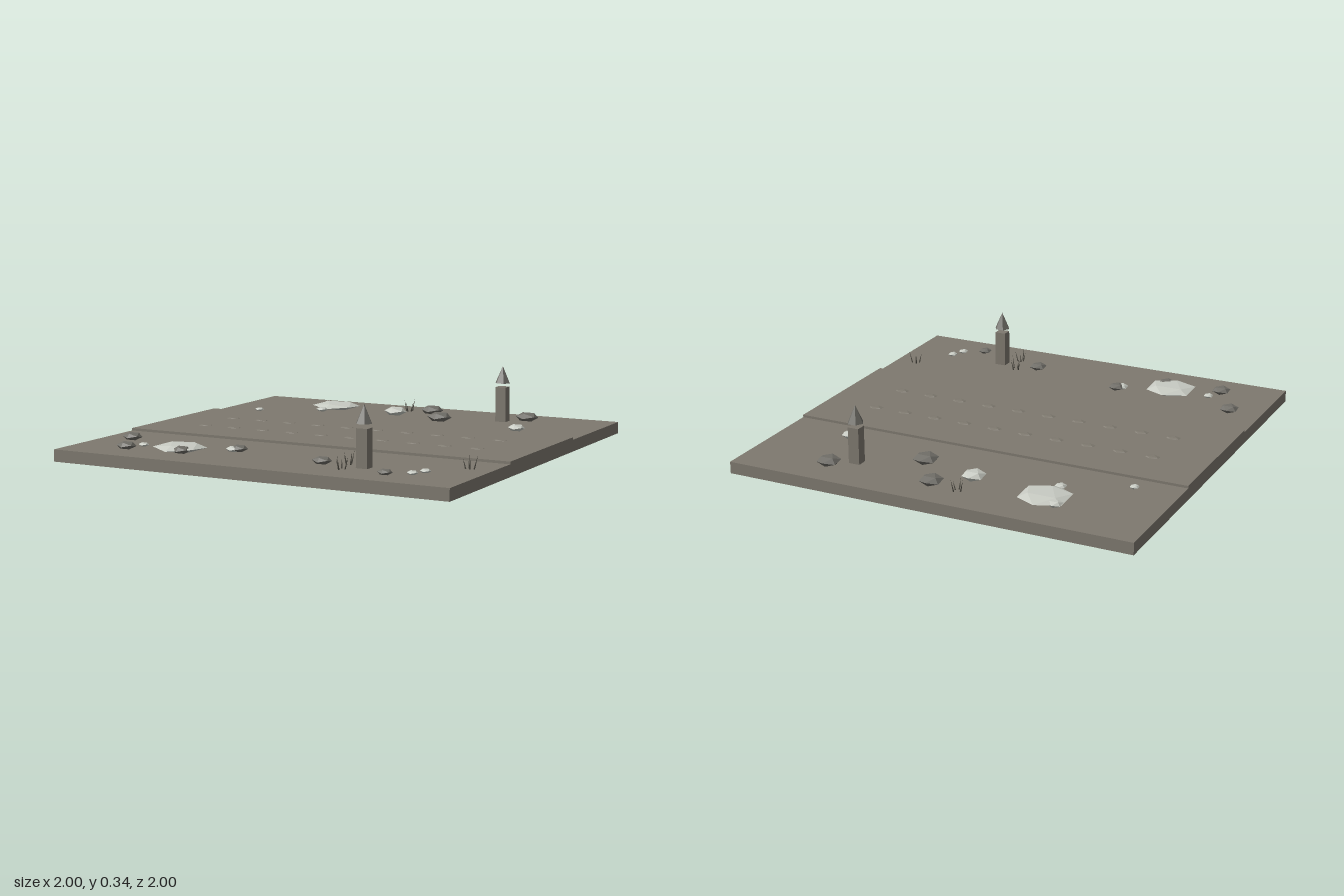
import * as THREE from 'three';
import { ConvexGeometry } from 'three/addons/geometries/ConvexGeometry.js';

const material = (name, color) => {
  const m = new THREE.MeshStandardMaterial({ color, flatShading: true });
  m.name = name;
  return m;
};

// Icosahedron lying on a face, with one corner of its top face towards +z
function stoneGeometry() {
  const points = [];
  const ring = (radius, y, start) => {
    for (let i = 0; i < 3; i++) {
      const a = start + (i * Math.PI * 2) / 3;
      points.push(new THREE.Vector3(Math.sin(a) * radius, y, Math.cos(a) * radius));
    }
  };
  ring(0.607, 0.795, 0);
  ring(0.982, 0.188, Math.PI);
  ring(0.982, -0.188, 0);
  ring(0.607, -0.795, Math.PI);
  return new ConvexGeometry(points);
}

export function createModel() {
  const model = new THREE.Group();
  const earth = material('earth grey', 0x7e796f);
  const rock = material('rock grey', 0x706e68);
  const pale = material('pale stone', 0xc8cbc3);
  const dry = material('dry grass', 0x55524a);

  const add = (name, geometry, mat, x, y, z, parent = model) => {
    const mesh = new THREE.Mesh(geometry, mat);
    mesh.name = name;
    mesh.position.set(x, y, z);
    parent.add(mesh);
    return mesh;
  };

  // Ground slab and raised road
  add('ground', new THREE.BoxGeometry(2, 0.057, 2), earth, 0, 0.0285, 0);
  add('road', new THREE.BoxGeometry(2, 0.014, 0.748), earth, 0, 0.062, 0);

  // Two rows of low bumps along the road
  const stone = stoneGeometry();
  for (const z of [-0.13, 0.13]) {
    for (let i = 0; i < 10; i++) {
      add('roadBump', stone, earth, -0.731 + i * 0.1625, 0.066, z).scale.set(0.045, 0.009, 0.03);
    }
  }

  // Stones: x, z, radius
  const darkStones = [
    [0.05, -0.82, 0.058], [0.578, -0.826, 0.058], [0.19, -0.612, 0.062],
    [-0.84, 0.6, 0.048], [-0.717, 0.826, 0.047], [-0.428, 0.81, 0.045],
    [-0.22, 0.65, 0.042], [0.267, 0.75, 0.045], [0.631, 0.858, 0.034],
  ];
  const paleStones = [
    [-0.096, -0.69, 0.058], [0.658, -0.5, 0.043], [-0.786, -0.478, 0.023],
    [-0.49, -0.618, 0.03], [-0.55, -0.805, 0.037], [-0.68, 0.74, 0.025],
    [-0.24, 0.666, 0.035], [0.765, 0.74, 0.025], [0.735, 0.805, 0.025],
  ];
  const placeStones = (name, list, mat) => {
    for (const [x, z, r] of list) {
      add(name, stone, mat, x, 0.06 + r * 0.28, z).scale.set(r, r * 0.42, r);
    }
  };
  placeStones('darkStone', darkStones, rock);
  placeStones('paleStone', paleStones, pale);

  // Broad flat slabs beside the road
  for (const z of [-0.75, 0.747]) {
    add('flatSlab', stone, pale, -0.476, 0.072, z).scale.set(0.127, 0.02, 0.127);
  }

  // Posts with a separate pointed cap hovering over each
  for (const z of [-0.75, 0.75]) {
    const post = new THREE.Group();
    post.name = 'post';
    post.position.set(0.475, 0, z);
    add('postShaft', new THREE.BoxGeometry(0.055, 0.18, 0.051), earth, 0, 0.142, 0, post);
    const cap = add('postCap', new THREE.ConeGeometry(0.039, 0.085, 6), rock, 0, 0.294, 0, post);
    cap.rotation.y = Math.PI / 6;
    model.add(post);
  }

  // Tufts of thin leaning blades
  const blade = new THREE.ConeGeometry(0.004, 0.065, 4);
  blade.translate(0, 0.0325, 0);
  const tufts = [[-0.09, -0.837], [0.888, 0.564], [0.37, 0.7], [0.4, 0.822]];
  tufts.forEach(([x, z], t) => {
    const tuft = new THREE.Group();
    tuft.name = 'grassTuft';
    tuft.position.set(x, 0.055, z);
    for (let i = 0; i < 4; i++) {
      const a = t * 0.9 + i * 1.7;
      const d = 0.01 + 0.004 * i;
      const b = add('grassBlade', blade, dry, Math.cos(a) * d, 0, Math.sin(a) * d, tuft);
      b.rotation.set(Math.sin(a) * 0.25, 0, -Math.cos(a) * 0.25);
      b.scale.y = 0.75 + 0.1 * i;
    }
    model.add(tuft);
  });

  return model;
}
